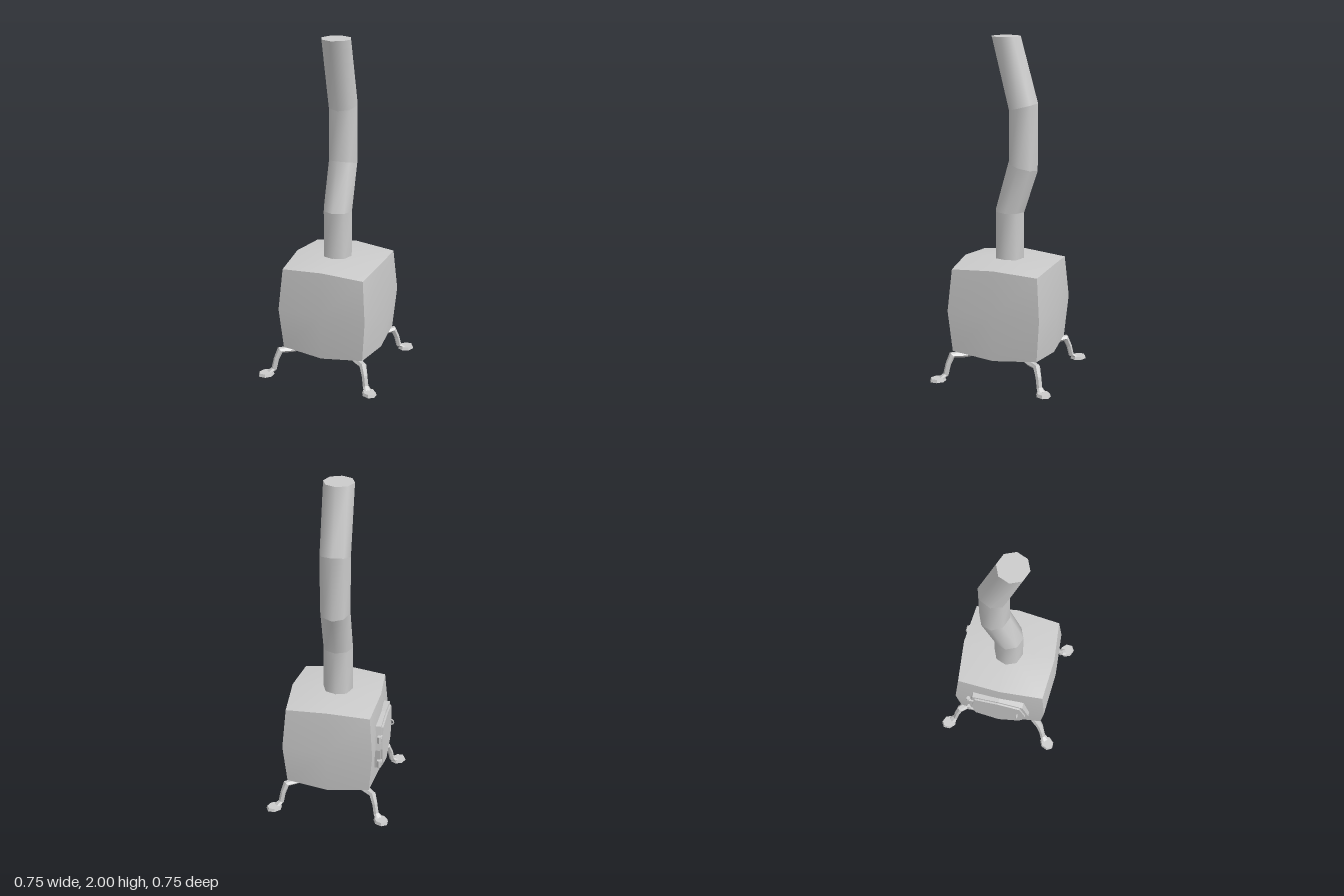
import * as THREE from 'three';
import { mergeGeometries } from 'three/addons/utils/BufferGeometryUtils.js';

const smooth = new THREE.MeshStandardMaterial({ color: 0xcccccc });
const faceted = new THREE.MeshStandardMaterial({ color: 0xcccccc, flatShading: true });

function add(parent, name, geometry, material = faceted) {
  const mesh = new THREE.Mesh(geometry, material);
  mesh.name = name;
  parent.add(mesh);
  return mesh;
}

// Skin a list of rings; each span keeps its own normals, both ends are capped
function loft(rings) {
  const n = rings[0].length;
  const make = (points, index) => {
    const g = new THREE.BufferGeometry().setFromPoints(points);
    g.setIndex(index);
    g.computeVertexNormals();
    return g;
  };
  const parts = [];
  for (let k = 0; k + 1 < rings.length; k++) {
    const index = [];
    for (let i = 0; i < n; i++) {
      const j = (i + 1) % n;
      index.push(i, j, n + j, i, n + j, n + i);
    }
    parts.push(make([...rings[k], ...rings[k + 1]], index));
  }
  const start = [], end = [];
  for (let i = 1; i + 1 < n; i++) {
    start.push(0, i + 1, i);
    end.push(0, i, i + 1);
  }
  parts.push(make(rings[0], start), make(rings[rings.length - 1], end));
  return mergeGeometries(parts);
}

// Box with edge middles and face centres pushed outward
function bulgedBox() {
  const g = new THREE.BoxGeometry(2, 2, 2, 2, 2, 2);
  const p = g.attributes.position;
  const reach = [[0.25, 0.271, 0.281], [0.25, 0.271, 0.295], [0.262, 0.283, 0.302]];
  for (let i = 0; i < p.count; i++) {
    const c = [p.getX(i), p.getY(i), p.getZ(i)].map(Math.round);
    const zeros = c.filter((v) => v === 0).length;
    const q = c.map((v, axis) => v * reach[axis][zeros]);
    p.setXYZ(i, q[0] + 0.009, q[1] + 0.42, q[2]);
  }
  g.computeVertexNormals();
  return g;
}

// Crooked octagonal stove pipe: [y, z, slope of the joint along z]
function pipeGeometry() {
  const R = 0.089;
  const joints = [[0.68, 0, 0], [0.985, 0, 0.02], [1.258, -0.082, 0.26], [1.602, -0.082, -0.26], [2, 0.023, 0]];
  return loft(joints.map(([y, z, slope]) => Array.from({ length: 8 }, (_, i) => {
    const a = (i / 8) * Math.PI * 2;
    const dz = -R * Math.sin(a);
    return new THREE.Vector3(R * Math.cos(a), y + slope * dz, z + dz);
  })));
}

// Bent leg running outward along +x: [x, y, ring angle, half width, half thickness]
function legGeometry() {
  const path = [
    [0.21, 0.14, 0.1, 0.026, 0.016],
    [0.30, 0.14, 0.1, 0.028, 0.018],
    [0.375, 0.145, -0.6, 0.022, 0.02],
    [0.40, 0.09, -1.25, 0.018, 0.016],
    [0.415, 0.03, -1.1, 0.018, 0.016],
    [0.45, 0.012, -0.3, 0.026, 0.008],
  ];
  return loft(path.map(([x, y, angle, w, t]) => Array.from({ length: 6 }, (_, i) => {
    const a = (i / 6) * Math.PI * 2;
    const v = t * Math.sin(a);
    return new THREE.Vector3(x + Math.sin(angle) * v, y - Math.cos(angle) * v, w * Math.cos(a));
  })));
}

// Bulged door outline, drawn as (z, y)
function doorPlate(scale, depth) {
  const outline = [[-0.165, 0.27], [0, 0.215], [0.15, 0.29], [0.19, 0.41],
    [0.15, 0.55], [0, 0.57], [-0.165, 0.565], [-0.19, 0.41]];
  const shape = new THREE.Shape(outline.map(([z, y]) =>
    new THREE.Vector2(z * scale, 0.41 + (y - 0.41) * scale)));
  const g = new THREE.ExtrudeGeometry(shape, { depth, bevelEnabled: false });
  return g.rotateY(-Math.PI / 2);
}

export function createModel() {
  const model = new THREE.Group();
  model.name = 'woodStove';

  add(model, 'firebox', bulgedBox(), smooth);
  add(model, 'stovePipe', pipeGeometry(), smooth);

  // Door on the right-hand side with hinges and a ring handle
  const door = new THREE.Group();
  door.name = 'door';
  model.add(door);
  add(door, 'doorFrame', doorPlate(1, 0.035)).position.x = -0.257;
  add(door, 'doorPanel', doorPlate(0.9, 0.02)).position.x = -0.283;
  for (const y of [0.32, 0.49]) {
    const hinge = add(door, 'hinge', new THREE.CylinderGeometry(0.013, 0.013, 0.045, 6));
    hinge.position.set(-0.287, y, -0.192);
    const strap = add(door, 'hingeStrap', new THREE.BoxGeometry(0.012, 0.022, 0.05));
    strap.position.set(-0.295, y, -0.17);
  }
  const handle = add(door, 'handle', new THREE.TorusGeometry(0.018, 0.005, 6, 10), smooth);
  handle.position.set(-0.305, 0.42, 0.12);

  // Four splayed legs with flat feet
  for (const sx of [1, -1]) {
    for (const sz of [1, -1]) {
      const leg = new THREE.Group();
      leg.name = (sz > 0 ? 'front' : 'back') + (sx > 0 ? 'Left' : 'Right') + 'Leg';
      leg.rotation.y = Math.atan2(-sz, sx);
      add(leg, 'legStrut', legGeometry());
      const foot = add(leg, 'foot', new THREE.CylinderGeometry(0.036, 0.042, 0.018, 7));
      foot.scale.x = 1.2;
      foot.position.set(0.465, 0.009, 0);
      model.add(leg);
    }
  }
  return model;
}
